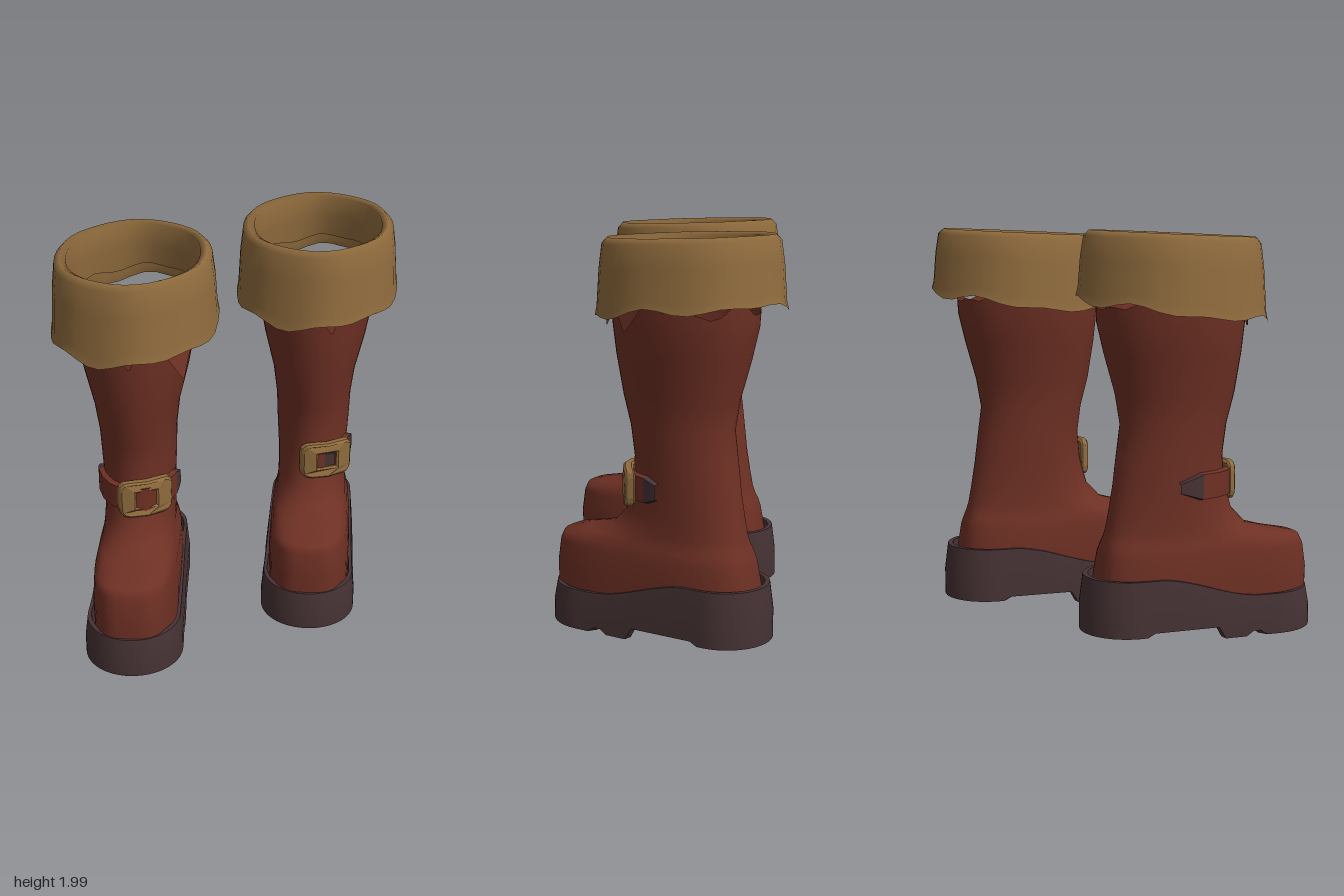
import * as THREE from 'three';
import { toCreasedNormals } from 'three/addons/utils/BufferGeometryUtils.js';

const mat = (name, color) => new THREE.MeshStandardMaterial({ name, color, side: THREE.DoubleSide });
const leather = mat('red brown leather', 0x6e3024);
const tan = mat('tan suede', 0x8f6b3d);
const rubber = mat('dark rubber', 0x463234);
const { lerp, smoothstep } = THREE.MathUtils;

// Skin a grid of points; rows run upwards on the outside, columns run from front towards +x
function loft(rows, wrap = true) {
  const n = rows[0].length, index = [];
  for (let i = 0; i < rows.length - 1; i++) {
    for (let j = 0; j < (wrap ? n : n - 1); j++) {
      const k = (j + 1) % n, a = i * n + j, b = i * n + k;
      index.push(a, b, b + n, a, b + n, a + n);
    }
  }
  const g = new THREE.BufferGeometry();
  g.setAttribute('position', new THREE.Float32BufferAttribute(rows.flat(2), 3));
  g.setIndex(index);
  g.computeVertexNormals();
  return g;
}

function add(parent, name, geometry, material) {
  const mesh = new THREE.Mesh(geometry, material);
  mesh.name = name;
  parent.add(mesh);
  return mesh;
}

// Point on a rounded horizontal outline; p below 1 makes it boxier
const pow = (v, p) => Math.sign(v) * Math.abs(v) ** p;
const onRing = (t, y, front, back, w, p = 1) => [
  w * pow(Math.sin(t), p), y, (front + back) / 2 + (front - back) / 2 * pow(Math.cos(t), p)];
const ring = (n, fn) => Array.from({ length: n }, (_, j) => fn(j / n * Math.PI * 2));

// Foot and shaft in one skin: y, front z, back z, half width, boxiness
function shaftGeometry() {
  const levels = [
    [0.12, 0.575, -0.53, 0.215, 0.62], [0.3, 0.58, -0.525, 0.216, 0.62],
    [0.42, 0.565, -0.505, 0.208, 0.64], [0.465, 0.545, -0.49, 0.198, 0.66],
    [0.495, 0.4, -0.48, 0.187, 0.74], [0.535, 0.26, -0.47, 0.183, 0.85],
    [0.62, 0.18, -0.455, 0.18, 0.92], [0.75, 0.145, -0.435, 0.184, 1],
    [0.9, 0.13, -0.415, 0.192, 1], [1.05, 0.15, -0.395, 0.197, 1],
    [1.2, 0.19, -0.42, 0.215, 1], [1.4, 0.22, -0.475, 0.264, 1],
    [1.55, 0.235, -0.51, 0.292, 1], [1.64, 0.238, -0.515, 0.297, 1]];
  return loft(levels.map(([y, f, b, w, p], i) => ring(40, t => {
    const torn = i === levels.length - 1 ? 0.025 * Math.sin(5 * t) + 0.02 * Math.cos(9 * t) : 0;
    return onRing(t, y + torn, f, b, w, p);
  })));
}

// Folded cuff: outer skirt with a ragged hem, rounded lip, inner wall
function cuffGeometry() {
  const hem = t => 1.62 - 0.055 * Math.cos(t + 0.45) + 0.012 * Math.sin(5 * t) + 0.012 * Math.cos(8 * t);
  const top = t => 1.975 - 0.018 * Math.cos(t + 0.3);
  const rows = [[0, 0.42, 0.48], [0.12, 0.412, 0.47], [0.6, 0.402, 0.458], [0.92, 0.388, 0.442],
    [1, 0.36, 0.415], [0.96, 0.328, 0.385], [0.6, 0.33, 0.39], [0.25, 0.335, 0.405]];
  return loft(rows.map(([k, w, h]) => ring(40, t => {
    const rough = 1 + 0.012 * Math.sin(6 * t + 1);
    return onRing(t, lerp(hem(t), top(t), k), -0.18 + h * rough, -0.18 - h * rough, w * rough);
  })));
}

// Lugged sole: a hollow rim around the foot, wider at the toe, flaring towards the ground
const TOE = { r: 0.247, z: 0.362 }, HEEL = { r: 0.232, z: -0.37 };
function solePoints() {
  const s = new THREE.Shape();
  s.absarc(0, TOE.z, TOE.r, Math.PI, 0, true);
  s.absarc(0, HEEL.z, HEEL.r, 0, -Math.PI, true);
  s.closePath();
  return s.getSpacedPoints(80).slice(0, -1);
}
function soleBottom(z) {
  if (z < -0.34) return 0.045;
  if (z < 0.04) return 0.065;
  return Math.abs(z - 0.24) < 0.03 ? 0.03 : 0.005;
}
function soleGeometry() {
  const top = z => 0.205 + 0.115 * smoothstep(-z, -0.28, 0.3);
  const section = [[0.82, 0], [1, 0], [1, 0.5], [0.95, 1], [0.88, 1], [0.82, 0]];
  const rows = section.map(([s, k]) => solePoints().map(({ x, y: z }) =>
    [x * s, lerp(soleBottom(z), top(z), k), z * (1 + (s - 1) * 0.6)]));
  return toCreasedNormals(loft(rows), 0.6);
}

// Closed plate under the heel (dir -1) or the toe (dir 1), starting at z0
function plateGeometry(dir, end, z0, top, depth) {
  const r = end.r * 0.93, s = new THREE.Shape();
  s.moveTo(r, z0);
  s.lineTo(r, end.z);
  s.absarc(0, end.z, r, 0, dir * Math.PI, dir < 0);
  s.lineTo(-r, z0);
  return new THREE.ExtrudeGeometry(s, { depth, bevelEnabled: false, curveSegments: 10 })
    .rotateX(Math.PI / 2).translate(0, top, 0);
}

// Ankle strap piece between two angles, tapering by the given half heights
function strapGeometry(t0, t1, h0, h1) {
  const section = [[0, -1], [1, -0.9], [1, 0.9], [0, 1]];
  return toCreasedNormals(loft(section.map(([out, v]) => Array.from({ length: 9 }, (_, j) => {
    const k = j / 8, e = out * 0.03, h = lerp(h0, h1, k);
    return onRing(t0 + (t1 - t0) * k, 0.76 + v * h, 0.145 + e, -0.435 - e, 0.185 + e);
  })), false), 0.6);
}

// Rounded buckle frame with a square opening
function buckleGeometry() {
  const w = 0.13, h = 0.088, c = 0.04, s = new THREE.Shape();
  s.moveTo(-w + c, -h); s.lineTo(0, -h); s.lineTo(w - c, -h);
  s.quadraticCurveTo(w, -h, w, -h + c); s.lineTo(w, h - c);
  s.quadraticCurveTo(w, h, w - c, h); s.lineTo(0, h); s.lineTo(-w + c, h);
  s.quadraticCurveTo(-w, h, -w, h - c); s.lineTo(-w, -h + c);
  s.quadraticCurveTo(-w, -h, -w + c, -h);
  const hole = new THREE.Path();
  hole.moveTo(-0.07, -0.05); hole.lineTo(-0.07, 0.05);
  hole.lineTo(0.055, 0.05); hole.lineTo(0.055, -0.05);
  hole.closePath();
  s.holes.push(hole);
  const g = new THREE.ExtrudeGeometry(s, { depth: 0.03, curveSegments: 3,
    bevelThickness: 0.01, bevelSize: 0.01, bevelSegments: 1 });
  // bend the frame around the ankle
  const p = g.attributes.position;
  for (let i = 0; i < p.count; i++) p.setZ(i, p.getZ(i) - 1.8 * p.getX(i) ** 2);
  g.computeVertexNormals();
  return g;
}

// Torn leather flap hanging below the cuff, given by two upper angles and a tip
function flapGeometry(t0, t1, tip, tipY) {
  const at = (t, y, e) => onRing(t, y, 0.235 + e, -0.51 - e, 0.292 + e);
  return loft([[at(tip, tipY, 0.04), at(tip + 0.04, tipY, 0.04)],
    [at(t0, 1.68, 0.02), at(t1, 1.68, 0.02)]], false);
}

function createBoot(name, cuffShift, buckleX, strapStart, flaps) {
  const boot = new THREE.Group();
  boot.name = name;
  add(boot, 'shaftAndFoot', shaftGeometry(), leather);
  add(boot, 'cuff', cuffGeometry(), tan).position.z = cuffShift;
  add(boot, 'soleRim', soleGeometry(), rubber);
  add(boot, 'heelPlate', plateGeometry(-1, HEEL, -0.22, 0.17, 0.11), rubber);
  add(boot, 'archLedge', new THREE.BoxGeometry(0.42, 0.05, 0.15), rubber).position.set(0, 0.2, -0.155);
  add(boot, 'toePlate', plateGeometry(1, TOE, 0.28, 0.1, 0.08), rubber);
  add(boot, 'strap', strapGeometry(strapStart, 1.18, 0.068, 0.068), leather);
  add(boot, 'strapTip', strapGeometry(1.18, 1.42, 0.068, 0.04), rubber);

  const buckle = new THREE.Group();
  buckle.name = 'buckle';
  buckle.position.set(buckleX, 0.76, 0.125);
  buckle.rotation.y = 0.42;
  add(buckle, 'buckleFrame', buckleGeometry(), tan);
  add(buckle, 'buckleBack', new THREE.BoxGeometry(0.14, 0.11, 0.009), leather).position.z = 0.012;
  add(buckle, 'bucklePin', new THREE.BoxGeometry(0.075, 0.07, 0.009), rubber).position.z = 0.02;
  boot.add(buckle);

  for (const f of flaps) add(boot, 'tornFlap', flapGeometry(...f), leather);
  return boot;
}

export function createModel() {
  const model = new THREE.Group();
  model.name = 'pairOfBoots';
  const right = createBoot('rightBoot', 0.05, 0.055, -1.25, [[0.35, 1.6, 0.85, 1.42], [-0.4, 0.2, 0, 1.52]]);
  add(right, 'rearStrapTip', strapGeometry(-1.65, -1.25, 0.025, 0.068), rubber);
  right.position.set(-0.545, 0, -0.04);
  right.rotation.y = -0.57;
  const left = createBoot('leftBoot', 0.015, 0.08, -0.25, [[-0.1, 0.5, 0.25, 1.53], [0.8, 1.5, 1.2, 1.54]]);
  left.position.set(0.45, 0, 0.06);
  left.rotation.y = -0.6;
  model.add(right, left);
  return model;
}
